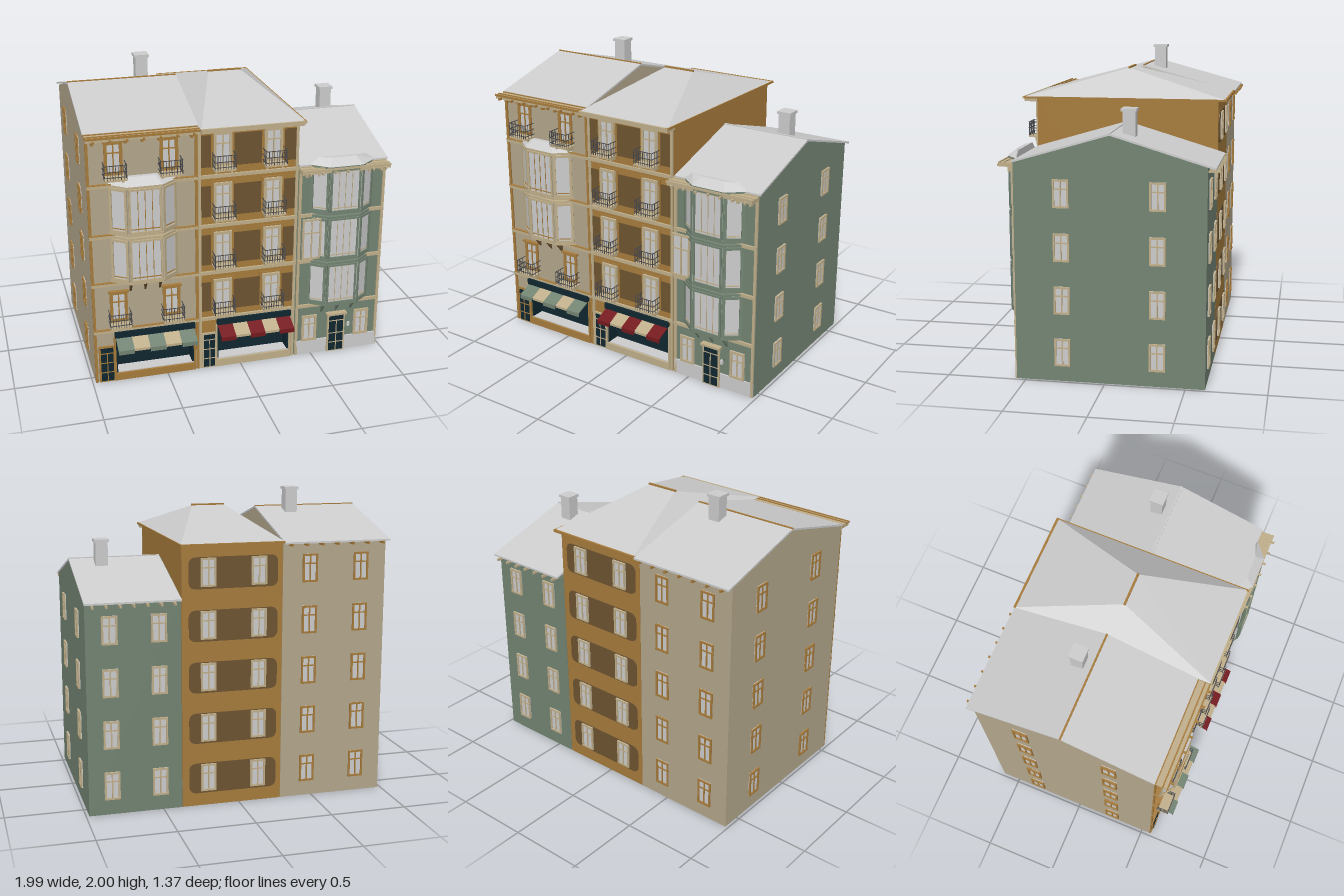
import * as THREE from 'three';

const material = (name, color) => Object.assign(new THREE.MeshStandardMaterial({ color }), { name });
const taupe = material('taupe plaster', 0xb3a68c), beige = material('beige trim', 0xbfae8a);
const ochre = material('ochre', 0xa67b3c), brown = material('brown', 0x6e5431);
const green = material('green plaster', 0x738473), light = material('light grey', 0xcccccc);
const navy = material('navy', 0x10262f), red = material('red', 0x74191e), iron = material('iron', 0x4a4a4c);
const FRONT = 0.56, BACK = -0.62;

function add(parent, name, geo, mat) {
  const m = new THREE.Mesh(geo, mat);
  m.name = name;
  parent.add(m);
  return m;
}
function group(parent, name, x = 0, y = 0, z = 0, turn = 0) {
  const g = new THREE.Group();
  g.name = name;
  g.position.set(x, y, z);
  g.rotation.y = turn;
  parent.add(g);
  return g;
}
// Box given by its limits
function box(p, name, mat, x0, x1, y0, y1, z0, z1) {
  const m = add(p, name, new THREE.BoxGeometry(x1 - x0, y1 - y0, z1 - z0), mat);
  m.position.set((x0 + x1) / 2, (y0 + y1) / 2, (z0 + z1) / 2);
  return m;
}
const outline = pts => new THREE.Shape(pts.map(q => new THREE.Vector2(...q)));
const extrude = (shape, depth) => new THREE.ExtrudeGeometry(shape, { depth, bevelEnabled: false });
// Profile of [z, y] points swept along x
function alongX(p, name, mat, pts, x0, x1) {
  return add(p, name, extrude(outline(pts), x1 - x0).rotateY(-Math.PI / 2).translate(x1, 0, 0), mat);
}
// Plan of [x, z] points swept upwards
function upwards(p, name, mat, pts, y0, y1) {
  const s = outline(pts.map(([x, z]) => [x, -z]));
  return add(p, name, extrude(s, y1 - y0).rotateX(-Math.PI / 2).translate(0, y0, 0), mat);
}

// Four thin walls, open below, with holes [x0, x1, y0, y1] in the front
function shell(p, mat, x0, x1, eave, ridge, holes = []) {
  const front = outline([[x0, 0], [x1, 0], [x1, eave], [x0, eave]]);
  for (const [a, b, c, d] of holes) front.holes.push(outline([[a, c], [a, d], [b, d], [b, c]]));
  add(p, 'frontWall', extrude(front, 0.01).translate(0, 0, FRONT - 0.01), mat);
  box(p, 'backWall', mat, x0, x1, 0, eave, BACK, BACK + 0.01);
  const side = [[BACK, 0], [FRONT, 0], [FRONT, eave], [-0.035, ridge], [BACK, eave]];
  alongX(p, 'rightWall', mat, side, x0, x0 + 0.008);
  alongX(p, 'leftWall', mat, side, x1 - 0.008, x1);
}

// Window facing +z, standing on its local origin
function windowAt(p, x, y, z, w, h, frame, turn = 0, bars = true, t = 0.012) {
  const g = group(p, 'window', x, y, z, turn), r = w / 2;
  box(g, 'glass', light, -r, r, 0, h, 0, 0.004);
  for (const s of [-1, 1]) box(g, 'jamb', frame, s < 0 ? -r : r - t, s < 0 ? -r + t : r, 0, h, 0, 0.012);
  for (const b of [0, h - t]) box(g, 'rail', frame, -r, r, b, b + t, 0, 0.013);
  if (bars) {
    box(g, 'mullion', frame, -0.004, 0.004, 0, h, 0, 0.01);
    box(g, 'transom', frame, -r, r, h * 0.64, h * 0.64 + 0.008, 0, 0.01);
  }
  return g;
}
function balcony(p, x, y, trim) {
  const g = group(p, 'balcony', x, y, FRONT);
  box(g, 'balconyFloor', trim, -0.07, 0.07, 0, 0.01, 0, 0.09);
  for (const s of [-0.05, 0.05]) box(g, 'balconyBracket', trim, s - 0.006, s + 0.006, -0.025, 0, 0, 0.05);
  for (const h of [0.025, 0.06, 0.1]) {
    box(g, 'rail', iron, -0.07, 0.07, h, h + 0.004, 0.086, 0.09);
    for (const s of [-0.07, 0.066]) box(g, 'sideRail', iron, s, s + 0.004, h, h + 0.004, 0, 0.09);
  }
  for (let i = 0; i <= 8; i++) box(g, 'baluster', iron, -0.07 + i * 0.017, -0.067 + i * 0.017, 0.01, 0.1, 0.086, 0.089);
  for (const s of [-0.07, 0.067]) for (const z of [0.03, 0.06]) box(g, 'baluster', iron, s, s + 0.003, 0.01, 0.1, z, z + 0.003);
}
// One storey of a canted bay
const bayPlan = k => [[-0.21 - k, 0], [-0.105 - k / 2, 0.075 + k], [0.105 + k / 2, 0.075 + k], [0.21 + k, 0]];
function bay(p, x, y0, y1, wall, frame, line) {
  const g = group(p, 'bayWindow', x, 0, FRONT);
  upwards(g, 'bayBody', wall, bayPlan(0), y0, y1);
  for (const y of [y0, y1 - 0.015]) upwards(g, 'bayBand', frame, bayPlan(0.008), y, y + 0.015);
  const h = y1 - y0 - 0.035, a = Math.atan2(0.075, 0.105);
  const mid = windowAt(g, 0, y0 + 0.018, 0.075, 0.205, h, frame, 0, false);
  box(mid, 'sillLine', line, -0.09, 0.09, 0.025, 0.031, 0, 0.008);
  for (const s of [-0.045, 0, 0.045]) box(mid, 'glazingBar', line, s - 0.002, s + 0.002, 0.012, h - 0.012, 0, 0.007);
  for (const s of [-1, 1]) {
    const pane = windowAt(g, s * 0.1575, y0 + 0.018, 0.0375, 0.12, h, frame, s * a, false, 0.016);
    box(pane, 'sillLine', line, -0.04, 0.04, 0.025, 0.031, 0, 0.008);
  }
}
function bayRoof(p, x, y) {
  const g = group(p, 'bayRoof', x, y, FRONT);
  const geo = extrude(outline(bayPlan(0.012).map(([a, z]) => [a, -z])), 0.045).rotateX(-Math.PI / 2);
  const v = geo.attributes.position;
  for (let i = 0; i < v.count; i++) if (v.getY(i) > 0.02) v.setXYZ(i, v.getX(i) * 0.72, v.getY(i), v.getZ(i) * 0.35);
  geo.computeVertexNormals();
  add(g, 'bayRoofCap', geo, light);
}
function door(p, x, w, h, frame) {
  const g = group(p, 'door', x, 0, FRONT), r = w / 2;
  box(g, 'doorFrame', frame, -r, r, 0, h, 0, 0.012);
  box(g, 'doorLeaf', navy, -r + 0.012, r - 0.012, 0.01, h - 0.055, 0.012, 0.017);
  box(g, 'fanlight', navy, -r + 0.012, r - 0.012, h - 0.045, h - 0.012, 0.012, 0.016);
  box(g, 'doorMullion', frame, -0.003, 0.003, 0.01, h - 0.05, 0.016, 0.02);
  for (const y of [0.07, 0.14]) box(g, 'doorRail', frame, -r, r, y, y + 0.006, 0.016, 0.019);
}
// Recessed display window, sign and striped awning
function shop(p, x0, x1, trim, stripe) {
  const g = group(p, 'shop');
  box(g, 'displayBack', navy, x0, x1, 0.05, 0.32, FRONT - 0.1, FRONT - 0.09);
  box(g, 'displayLedge', light, x0, x1, 0.048, 0.056, FRONT - 0.1, FRONT);
  box(g, 'shopPlinth', trim, x0 - 0.01, x1 + 0.01, 0, 0.05, FRONT, FRONT + 0.015);
  for (const x of [x0 - 0.012, x1]) box(g, 'shopPost', trim, x, x + 0.012, 0, 0.32, FRONT, FRONT + 0.015);
  for (const x of [x0, x1 - 0.01]) box(g, 'displayFrame', navy, x, x + 0.01, 0.05, 0.32, FRONT - 0.1, FRONT);
  box(g, 'sign', navy, x0 - 0.005, x1 + 0.005, 0.32, 0.36, FRONT, FRONT + 0.03);
  const w = (x1 - x0) / 5;
  for (let i = 0; i < 5; i++) {
    const odd = i % 2, z = odd ? 0.672 : 0.68, b = odd ? 0.258 : 0.246;
    alongX(g, 'awningStripe', odd ? beige : stripe,
      [[0.562, 0.318], [z - 0.005, 0.27], [z - 0.005, b], [z, b], [z, 0.275], [0.562, 0.325]], x0 + i * w, x0 + (i + 1) * w);
  }
}
function gableRoof(p, x0, x1, eave, ridge, cap) {
  const t = 0.012, zr = -0.035;
  alongX(p, 'roof', light, [[0.565, eave], [zr, ridge], [-0.67, eave - 0.012], [-0.67, eave], [zr, ridge + t], [0.565, eave + t]], x0, x1);
  box(p, 'ridgeCap', cap, x0, x1, ridge + 0.007, ridge + 0.016, zr - 0.006, zr + 0.006);
}
function chimney(p, x, y0, y1) {
  box(p, 'chimney', light, x - 0.04, x + 0.04, y0, y1, -0.165, -0.085);
  box(p, 'chimneyCap', light, x - 0.048, x + 0.048, y1 - 0.018, y1, -0.173, -0.077);
}
// Storey bands, corner strips, cornice and eave blocks
function trimming(p, x0, x1, levels, top, trim, edge, blocks) {
  for (const y of levels) {
    box(p, 'storeyBand', trim, x0, x1, y - 0.012, y + 0.01, FRONT, FRONT + 0.014);
    if (edge !== trim) box(p, 'bandEdge', edge, x0, x1, y + 0.01, y + 0.015, FRONT, FRONT + 0.018);
  }
  for (const x of [x0, x1 - 0.018]) box(p, 'cornerStrip', edge, x, x + 0.018, 0, top, FRONT, FRONT + 0.01);
  if (!blocks) return;
  box(p, 'cornice', trim, x0 - 0.005, x1, top - 0.02, top + 0.004, FRONT, 0.645);
  for (const z of [0.563, 0.61, 0.64]) box(p, 'corniceLine', edge, x0 - 0.01, x1, top - 0.004, top + 0.01, z, z + 0.009);
  for (let i = 0; i < blocks; i++) {
    const x = x0 + 0.04 + i * (x1 - x0 - 0.08) / (blocks - 1);
    box(p, 'eaveBlock', edge, x - 0.007, x + 0.007, top - 0.055, top - 0.02, FRONT, 0.6);
    box(p, 'eaveTip', edge, x - 0.006, x + 0.006, top - 0.022, top - 0.008, 0.64, 0.668);
    box(p, 'rearEaveBlock', edge, x - 0.006, x + 0.006, top - 0.026, top - 0.01, -0.685, BACK);
  }
}
const backWindows = (p, xs, floors, frame) => {
  for (const x of xs) for (let i = 0; i < floors; i++) windowAt(p, x, 0.1 + i * 0.333, BACK, 0.1, 0.18, frame, Math.PI);
};
const sideWindows = (p, x, dir, floors, frame) => {
  for (const z of [0.265, -0.325]) for (let i = 0; i < floors; i++) windowAt(p, x, 0.1 + i * 0.333, z, 0.1, 0.175, frame, dir * Math.PI / 2);
};

export function createModel() {
  const model = new THREE.Group();
  model.name = 'townhouseRow';
  const levels = [0.367, 0.7, 1.03, 1.365];

  // Right-hand house: taupe with ochre trim
  const a = group(model, 'taupeHouse');
  shell(a, taupe, -0.98, -0.285, 1.69, 1.86, [[-0.84, -0.32, 0.05, 0.32]]);
  trimming(a, -0.98, -0.285, levels, 1.695, beige, ochre, 7);
  gableRoof(a, -0.99, -0.28, 1.695, 1.855, ochre);
  chimney(a, -0.495, 1.8, 2);
  for (const x of [-0.81, -0.465]) for (const y of [0.43, 1.435]) {
    windowAt(a, x, y, FRONT, 0.115, 0.215, ochre, 0, true, 0.02);
    box(a, 'lintel', ochre, x - 0.065, x + 0.065, y + 0.21, y + 0.222, FRONT, FRONT + 0.025);
    balcony(a, x, y - 0.015, beige);
  }
  bay(a, -0.635, 0.715, 1.035, taupe, beige, ochre);
  bay(a, -0.635, 1.045, 1.375, taupe, beige, ochre);
  bayRoof(a, -0.635, 1.375);
  for (const x of [-0.73, -0.635, -0.54])
    alongX(a, 'bayBracket', brown, [[FRONT, 0.635], [0.625, 0.715], [FRONT, 0.715]], x - 0.006, x + 0.006);
  door(a, -0.9, 0.105, 0.26, ochre);
  shop(a, -0.84, -0.32, ochre, green);
  backWindows(a, [-0.81, -0.465], 5, ochre);
  sideWindows(a, -0.98, -1, 5, ochre);

  // Middle house: ochre with brown panels and a hipped roof
  const b = group(model, 'ochreHouse');
  shell(b, ochre, -0.283, 0.375, 1.69, 1.69, [[-0.16, 0.34, 0.05, 0.32]]);
  trimming(b, -0.283, 0.375, levels, 1.69, beige, beige, 0);
  box(b, 'frieze', beige, -0.28, 0.385, 1.672, 1.699, FRONT, 0.645);
  for (let i = 0; i < 4; i++) {
    const y = 0.43 + i * 0.335;
    box(b, 'brownPanel', brown, -0.265, 0.357, y - 0.01, y + 0.2, FRONT, FRONT + 0.004);
    for (const x of [-0.125, 0.205]) {
      box(b, 'windowSurround', ochre, x - 0.075, x + 0.075, y - 0.02, y + 0.23, FRONT, FRONT + 0.007);
      windowAt(b, x, y, FRONT + 0.007, 0.12, 0.22, beige, 0, true, 0.018);
      balcony(b, x, y - 0.015, beige);
    }
  }
  for (let i = 0; i < 5; i++) {
    const s = new THREE.Shape(), y = 0.085 + i * 0.333, r = 0.05;
    s.moveTo(-0.2, y).lineTo(0.28, y).quadraticCurveTo(0.28 + r, y, 0.28 + r, y + r).lineTo(0.28 + r, y + 0.15)
      .quadraticCurveTo(0.28 + r, y + 0.2, 0.28, y + 0.2).lineTo(-0.2, y + 0.2)
      .quadraticCurveTo(-0.25, y + 0.2, -0.25, y + 0.15).lineTo(-0.25, y + r).quadraticCurveTo(-0.25, y, -0.2, y);
    add(b, 'rearBrownPanel', extrude(s, 0.005).translate(0, 0, BACK - 0.005), brown);
  }
  const rear = group(b, 'rearWindows', 0, 0, -0.005);
  backWindows(rear, [-0.125, 0.205], 5, beige);
  const A = [-0.28, 1.7, 0.65], B = [0.39, 1.7, 0.65], C = [0.39, 1.7, -0.67], D = [-0.28, 1.7, -0.67];
  const E = [-0.065, 1.88, -0.01], F = [0.15, 1.88, -0.01];
  const hip = new THREE.BufferGeometry();
  hip.setAttribute('position', new THREE.Float32BufferAttribute(
    [A, B, F, A, F, E, B, C, F, C, D, E, C, E, F, D, A, E, A, D, C, A, C, B].flat(), 3));
  hip.computeVertexNormals();
  add(b, 'hippedRoof', hip, light);
  box(b, 'ridgeCap', ochre, -0.07, 0.155, 1.876, 1.888, -0.017, -0.003);
  box(b, 'leftEave', ochre, 0.376, 0.392, 1.69, 1.704, -0.67, 0.65);
  box(b, 'rearEave', ochre, -0.28, 0.392, 1.69, 1.704, -0.675, -0.66);
  box(b, 'frontEave', beige, -0.28, 0.392, 1.69, 1.704, 0.642, 0.655);
  door(b, -0.215, 0.1, 0.26, beige);
  shop(b, -0.16, 0.34, beige, red);

  // Left-hand house: green with three bays
  const c = group(model, 'greenHouse');
  shell(c, green, 0.378, 0.98, 1.37, 1.55);
  trimming(c, 0.385, 0.978, levels.slice(0, 3), 1.36, beige, beige, 7);
  gableRoof(c, 0.385, 0.988, 1.368, 1.545, light);
  chimney(c, 0.79, 1.48, 1.69);
  bay(c, 0.675, 0.385, 0.705, green, green, beige);
  bay(c, 0.675, 0.715, 1.035, green, green, beige);
  bay(c, 0.675, 1.045, 1.375, green, green, beige);
  bayRoof(c, 0.675, 1.378);
  for (const x of [0.57, 0.675, 0.78])
    alongX(c, 'bayBracket', green, [[FRONT, 0.305], [0.625, 0.385], [FRONT, 0.385]], x - 0.006, x + 0.006);
  windowAt(c, 0.465, 0.735, 0.605, 0.13, 0.285, beige).name = 'openCasement';
  box(c, 'stonePlinth', light, 0.39, 0.978, 0, 0.1, FRONT, FRONT + 0.01);
  for (const x of [0.485, 0.86]) windowAt(c, x, 0.1, FRONT, 0.105, 0.19, beige, 0, true, 0.016);
  door(group(c, 'entrance', 0, 0, 0.01), 0.675, 0.125, 0.285, beige);
  box(c, 'doorHood', beige, 0.605, 0.745, 0.28, 0.295, FRONT, FRONT + 0.04);
  box(c, 'lampArm', iron, 0.757, 0.763, 0.2, 0.206, FRONT, FRONT + 0.03);
  box(c, 'lamp', light, 0.752, 0.768, 0.185, 0.215, FRONT + 0.02, FRONT + 0.035);
  backWindows(c, [0.52, 0.83], 4, beige);
  sideWindows(c, 0.98, 1, 4, beige);
  return model;
}
